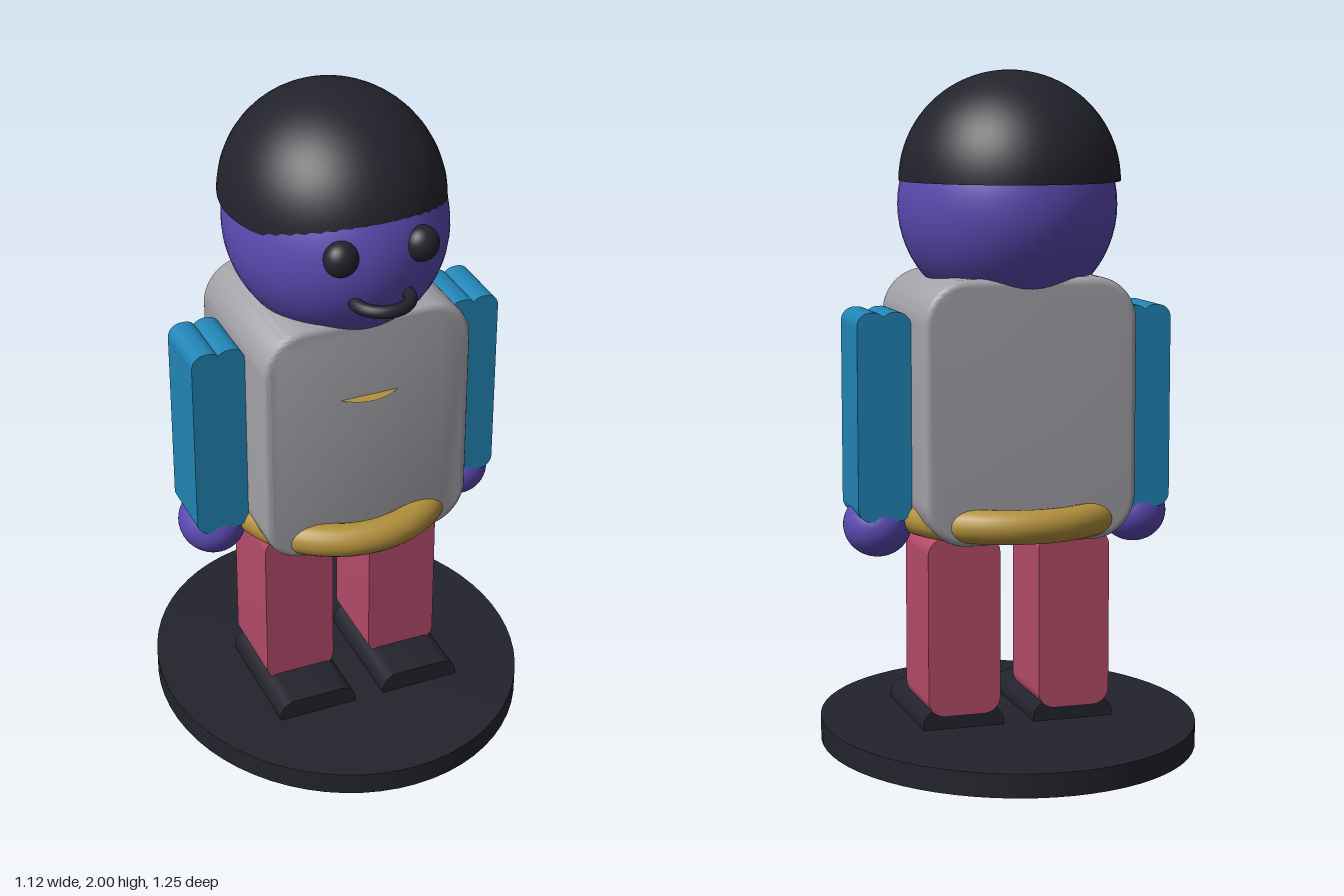
import * as THREE from 'three';
import { toCreasedNormals } from 'three/addons/utils/BufferGeometryUtils.js';

const mat = (name, color) => {
  const m = new THREE.MeshStandardMaterial({ color });
  m.name = name;
  return m;
};

// Rounded rectangle in x/y, extruded from z0 to z1, optionally with softened rims
function slab(x0, x1, y0, y1, z0, z1, r, bevel = 0) {
  const s = new THREE.Shape();
  s.moveTo(x0 + r, y0);
  s.lineTo(x1 - r, y0);
  s.absarc(x1 - r, y0 + r, r, -Math.PI / 2, 0);
  s.lineTo(x1, y1 - r);
  s.absarc(x1 - r, y1 - r, r, 0, Math.PI / 2);
  s.lineTo(x0 + r, y1);
  s.absarc(x0 + r, y1 - r, r, Math.PI / 2, Math.PI);
  s.lineTo(x0, y0 + r);
  s.absarc(x0 + r, y0 + r, r, Math.PI, Math.PI * 1.5);
  const g = new THREE.ExtrudeGeometry(s, {
    depth: z1 - z0 - 2 * bevel, curveSegments: 10, bevelEnabled: bevel > 0,
    bevelThickness: bevel, bevelSize: bevel, bevelOffset: -bevel, bevelSegments: 4,
  });
  g.translate(0, 0, z0 + bevel);
  return toCreasedNormals(g, 0.6);
}

const ball = (rx, ry, rz) => new THREE.SphereGeometry(1, 48, 32).scale(rx, ry, rz);

export function createModel() {
  const group = new THREE.Group();
  const dark = mat('charcoal', 0x23232d);
  const skin = mat('purple', 0x5b4ab2);
  const grey = mat('grey', 0xa3a2a8);
  const blue = mat('blue', 0x2185b5);
  const pink = mat('rose', 0xb54b6a);
  const gold = mat('gold', 0xb3913c);
  gold.side = THREE.DoubleSide;

  const add = (name, geometry, material, x = 0, y = 0, z = 0) => {
    const m = new THREE.Mesh(geometry, material);
    m.name = name;
    m.position.set(x, y, z);
    group.add(m);
    return m;
  };

  // Oval stand
  add('stand', new THREE.CylinderGeometry(1, 1, 0.07, 64).scale(0.56, 1, 0.625), dark, 0, 0.035, 0);

  // Torso, belt ring and chest badge
  add('torso', slab(-0.32, 0.32, 0.64, 1.41, -0.25, 0.25, 0.13, 0.02), grey);
  add('belt', new THREE.TorusGeometry(0.3, 0.05, 20, 64).rotateX(Math.PI / 2), gold, 0, 0.7, 0);
  add('badge', new THREE.CircleGeometry(0.13, 40).rotateX(-Math.PI / 2), gold, 0, 1.16, 0.155);

  // Head and hair cap
  add('head', ball(0.32, 0.325, 0.355), skin, 0, 1.61, 0);
  const cap = new THREE.SphereGeometry(1, 48, 20, 0, Math.PI * 2, 0, Math.PI / 2);
  add('hair', cap.scale(0.322, 0.32, 0.355), dark, 0, 1.68, -0.024);
  add('hairUnderside', new THREE.CircleGeometry(1, 48).rotateX(Math.PI / 2).scale(0.322, 1, 0.355),
    dark, 0, 1.68, -0.024);

  // Smile: half ring bulging forward
  const smile = new THREE.TorusGeometry(0.08, 0.019, 14, 32, Math.PI).rotateX(Math.PI / 2);
  add('mouth', smile, dark, 0, 1.517, 0.328);
  for (const s of [-1, 1]) {
    add('mouthEnd', new THREE.SphereGeometry(0.019, 14, 10), dark, s * 0.08, 1.517, 0.328);
  }

  // Paired parts
  for (const s of [-1, 1]) {
    const side = s > 0 ? 'left' : 'right';
    const pair = (a, b) => (s > 0 ? [a, b] : [-b, -a]);
    add(side + 'Eye', ball(0.05, 0.052, 0.045), dark, s * 0.12, 1.66, 0.325);
    add(side + 'InnerArm', slab(...pair(0.32, 0.41), 0.7, 1.31, -0.1, 0.1, 0.04), blue);
    add(side + 'OuterArm', slab(...pair(0.39, 0.48), 0.7, 1.31, -0.1, 0.1, 0.04), blue);
    add(side + 'Hand', ball(0.1, 0.095, 0.11), skin, s * 0.4, 0.675, 0);
    add(side + 'Leg', slab(...pair(0.06, 0.28), 0.11, 0.645, -0.128, 0.128, 0.05), pink);
    add(side + 'Shoe', slab(...pair(0.046, 0.295), 0.03, 0.13, -0.12, 0.272, 0.05), dark);
  }
  return group;
}
